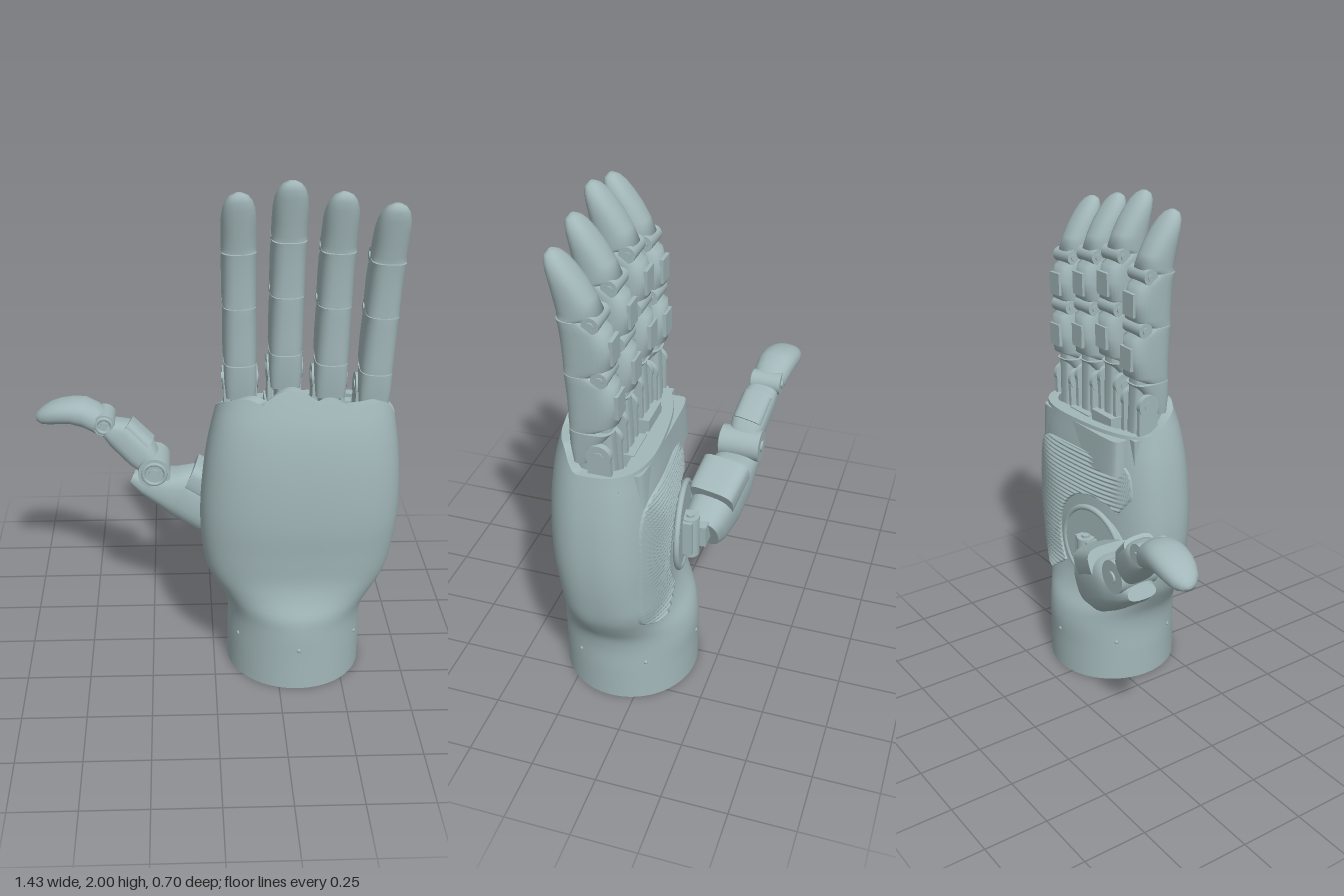
import * as THREE from 'three';

const paint = new THREE.MeshStandardMaterial({ color: 0xa2b7b9 });
const paintThin = new THREE.MeshStandardMaterial({ color: 0xa2b7b9, side: THREE.DoubleSide });
const V = (x, y, z) => new THREE.Vector3(x, y, z);
const smooth = (x, a, b) => THREE.MathUtils.smoothstep(x, a, b);
const power = (v, e) => Math.sign(v) * Math.abs(v) ** e;

function add(parent, name, geometry, pos = [0, 0, 0], rot = [0, 0, 0], material = paint) {
  const mesh = new THREE.Mesh(geometry, material);
  mesh.name = name;
  mesh.position.set(...pos);
  mesh.rotation.set(...rot);
  parent.add(mesh);
}

// Surface through rows of points; closed rows wrap around
function skin(rows, closed = true) {
  const n = rows[0].length, index = [];
  for (let i = 0; i < rows.length - 1; i++) {
    for (let j = 0; j < (closed ? n : n - 1); j++) {
      const k = (j + 1) % n, a = i * n + j, b = i * n + k;
      index.push(a, a + n, b, b, a + n, b + n);
    }
  }
  const g = new THREE.BufferGeometry().setFromPoints(rows.flat());
  g.setIndex(index);
  g.computeVertexNormals();
  return g;
}

// Capped loft along y from sections [y, xCentre, xRadius, zMin, zMax]
function loft(sections, n = 2.5, count = 28) {
  const ring = ([y, cx, rx, z0, z1], s = 1) => Array.from({ length: count }, (_, j) => {
    const a = (j / count) * Math.PI * 2;
    return V(cx + s * rx * power(Math.cos(a), 2 / n), y,
      (z0 + z1) / 2 + s * (z1 - z0) / 2 * power(Math.sin(a), 2 / n));
  });
  const first = sections[0], last = sections[sections.length - 1];
  return skin([ring(first, 0), ring(first), ...sections.map(s => ring(s)), ring(last), ring(last, 0)]);
}

const disc = (r, h, sides = 28) => new THREE.CylinderGeometry(r, r, h, sides);
const ALONG_X = [0, 0, Math.PI / 2], ALONG_Z = [Math.PI / 2, 0, 0];

// Hand outline by height: y, xMin, xMax, zMin, zMax
const outline = [
  [0, 0.055, 0.59, -0.175, 0.35], [0.13, 0.055, 0.59, -0.175, 0.35],
  [0.25, 0.055, 0.59, -0.175, 0.35], [0.31, 0.043, 0.602, -0.16, 0.345],
  [0.37, 0.012, 0.635, -0.125, 0.323], [0.44, -0.025, 0.67, -0.1, 0.308],
  [0.55, -0.048, 0.694, -0.09, 0.312], [0.7, -0.055, 0.708, -0.09, 0.325],
  [0.88, -0.042, 0.703, -0.085, 0.325], [1.0, -0.025, 0.69, -0.075, 0.315],
  [1.1, -0.003, 0.674, -0.062, 0.298], [1.18, 0.018, 0.66, -0.055, 0.275],
  [1.26, 0.03, 0.65, -0.05, 0.248],
];
const spline = new THREE.CubicInterpolant(outline.map(r => r[0]), outline.flatMap(r => r.slice(1)), 4);
function sectionAt(y) {
  const [x0, x1, z0, z1] = spline.evaluate(y);
  return { cx: (x0 + x1) / 2, rx: (x1 - x0) / 2, cz: (z0 + z1) / 2, rz: (z1 - z0) / 2,
    n: 2 + 0.6 * smooth(y, 0.25, 0.5), skew: 0.03 * smooth(y, 0.3, 0.5) };
}
function shellPoint(a, y, wall) {
  const s = sectionAt(y), c = power(Math.cos(a), 2 / s.n), q = power(Math.sin(a), 2 / s.n);
  return V(s.cx + (s.rx - wall) * c, y, s.cz + (s.rz - wall) * q + s.skew * c * Math.min(q, 0));
}
function palmZ(x, y) {
  const s = sectionAt(y), k = THREE.MathUtils.clamp((x - s.cx) / s.rx, -1, 1);
  const q = (1 - Math.abs(k) ** s.n) ** (1 / s.n);
  return s.cz - s.rz * q - s.skew * k * q;
}

// Finger data: x at base, height offset, sideways lean
const fingers = [[0.095, -0.04, 0.023], [0.259, 0, 0], [0.427, -0.04, -0.013], [0.591, -0.08, -0.04]];

// Hollow hand shell with a scalloped knuckle edge
function buildShell(group) {
  const count = 96, steps = 56;
  const knuckleRise = (x) => Math.max(0.06, ...fingers.map(([fx, dy]) =>
    0.135 + dy * 0.95 - 5 * Math.min(Math.abs(x - fx), 0.11) ** 2));
  const row = (t, wall) => Array.from({ length: count }, (_, j) => {
    const a = (j / count) * Math.PI * 2, edge = shellPoint(a, 1.11, 0);
    const start = edge.x < 0.32 ? 0.04 : 0.15;
    const rise = smooth(edge.z, start, 0.24) * knuckleRise(edge.x);
    return shellPoint(a, t * 1.11 + rise * smooth(t, 0.75, 1), wall + 0.012 * smooth(t, 0.8, 1));
  });
  const ts = Array.from({ length: steps + 1 }, (_, i) => i / steps);
  const outer = ts.map(t => row(t, 0).map((p, j) => {
    const a = (j / count) * Math.PI * 2;
    return shellPoint(a, p.y, 0);
  }));
  const inner = ts.map(t => row(t, 0.028)).reverse();
  add(group, 'handShell', skin([...outer, outer[steps], inner[0], ...inner, inner[steps], outer[0]]));

  // Bar closing the palm side behind the finger mounts
  add(group, 'knuckleBar', loft([[0.95, 0.33, 0.27, -0.075, 0.015], [1.095, 0.335, 0.27, -0.065, 0.015]], 5));

  // Screws around the wrist and pegs inside it
  for (let i = 0; i < 6; i++) {
    const p = shellPoint((i + 0.5) * Math.PI / 3, 0.18, 0.003);
    add(group, 'wristScrew', new THREE.SphereGeometry(0.009, 10, 8), p.toArray());
  }
  for (const side of [-1, 1]) {
    add(group, 'wristPeg', disc(0.018, 0.08, 16), [0.322 + side * 0.2, 0.1, 0.0875], ALONG_X);
  }
}

// Ribbed grip pad curving round the thumb mount
function buildGrip(group) {
  const rows = [], nA = 130, nR = 66;
  for (let i = 0; i <= nA; i++) {
    const a = THREE.MathUtils.degToRad(-38 + 163 * i / nA), c = Math.cos(a), s = Math.sin(a);
    const far = ((c / (c < 0 ? 0.18 : 0.43)) ** 6 + (s / (s < 0 ? 0.22 : 0.4)) ** 6) ** (-1 / 6);
    rows.push(Array.from({ length: nR + 1 }, (_, j) => {
      const r = 0.22 + (far - 0.22) * j / nR, x = 0.2 + r * c, y = 0.6 + r * s;
      const border = i === 0 || i === nA || j === 0 || j === nR;
      const lift = border ? -0.008 : 0.008 + 0.004 * Math.sin(y * 340);
      return V(x, y, palmZ(x, y) - lift);
    }));
  }
  add(group, 'palmGrip', skin(rows, false), [0, 0, 0], [0, 0, 0], paintThin);
}

function buildFinger([x, dy, lean]) {
  const f = new THREE.Group();
  f.name = 'finger';
  f.position.set(x, 1.27 + dy, 0);
  f.rotation.z = lean;
  const body = new THREE.Group();
  body.position.y = -1.27;
  f.add(body);

  // Knuckle mount, fork and hinge
  add(body, 'knuckleMount', new THREE.BoxGeometry(0.14, 0.16, 0.2), [0, 1.06, 0.105]);
  add(body, 'knuckleCore', loft([[1.1, 0, 0.035, 0.03, 0.17], [1.38, 0, 0.038, 0.04, 0.175]], 4));
  for (const side of [-1, 1]) {
    add(body, 'knuckleCheek', new THREE.BoxGeometry(0.018, 0.17, 0.085), [side * 0.053, 1.19, 0.075]);
    add(body, 'knuckleCap', disc(0.045, 0.022), [side * 0.055, 1.27, 0.075], ALONG_X);
    add(body, 'knucklePin', disc(0.02, 0.028, 16), [side * 0.055, 1.27, 0.075], ALONG_X);
  }
  add(body, 'knuckleCover', loft([[1.22, 0, 0.054, 0.12, 0.178], [1.29, 0, 0.06, 0.08, 0.188],
    [1.352, 0, 0.061, 0.03, 0.19]], 3));

  // Lower and middle links, bevelled on the palm side at each joint
  add(body, 'lowerLink', loft([[1.355, 0, 0.059, 0.07, 0.188], [1.385, 0, 0.063, 0.015, 0.19],
    [1.46, 0, 0.063, 0.01, 0.19], [1.54, 0, 0.062, 0.015, 0.194], [1.573, 0, 0.06, 0.08, 0.194]], 2.8));
  add(body, 'middleLink', loft([[1.576, 0, 0.06, 0.08, 0.194], [1.61, 0, 0.063, 0.02, 0.195],
    [1.68, 0, 0.063, 0.018, 0.198], [1.74, 0, 0.063, 0.035, 0.202], [1.778, 0, 0.062, 0.095, 0.206]], 2.8));
  for (const [y, z] of [[1.573, 0.06], [1.775, 0.08]]) {
    add(body, 'fingerJoint', disc(0.03, 0.112, 20), [0, y, z], ALONG_X);
    add(body, 'fingerJointPin', disc(0.014, 0.122, 14), [0, y, z], ALONG_X);
  }
  for (const [y, z] of [[1.46, 0.012], [1.67, 0.022]]) {
    add(body, 'fingerPad', new THREE.BoxGeometry(0.07, 0.09, 0.014), [0, y, z]);
  }
  add(body, 'fingertip', loft([[1.781, 0, 0.062, 0.095, 0.206], [1.8, 0, 0.063, 0.056, 0.208],
    [1.85, 0, 0.063, 0.078, 0.217], [1.9, 0, 0.062, 0.108, 0.226], [1.94, 0, 0.057, 0.138, 0.234],
    [1.97, 0, 0.047, 0.163, 0.238], [1.99, 0, 0.032, 0.185, 0.235], [2, 0, 0.012, 0.202, 0.222]], 2.3));
  return f;
}

// Group whose y axis runs from a to b and whose z axis stays near world z
function along(parent, name, a, b) {
  const g = new THREE.Group(), y = b.clone().sub(a).normalize();
  const x = y.clone().cross(V(0, 0, 1)).normalize(), z = x.clone().cross(y);
  g.name = name;
  g.quaternion.setFromRotationMatrix(new THREE.Matrix4().makeBasis(x, y, z));
  g.position.copy(a);
  parent.add(g);
  return g;
}

function buildThumb(group) {
  const thumb = new THREE.Group();
  thumb.name = 'thumb';
  group.add(thumb);

  // Round mount set into the palm with its swivel bracket
  add(thumb, 'thumbMount', disc(0.165, 0.06, 48), [0.2, 0.6, -0.06], [Math.PI / 2, 0, -0.14]);
  add(thumb, 'thumbMountRing', new THREE.TorusGeometry(0.168, 0.012, 10, 56), [0.2, 0.6, -0.085], [0, 0.14, 0]);
  add(thumb, 'swivelBracket', new THREE.BoxGeometry(0.09, 0.15, 0.06), [0.21, 0.57, -0.105]);
  add(thumb, 'swivelBarrel', disc(0.036, 0.18, 24), [0.205, 0.56, -0.115]);
  add(thumb, 'swivelPin', disc(0.016, 0.2, 16), [0.205, 0.56, -0.115]);
  add(thumb, 'swivelArm', new THREE.BoxGeometry(0.12, 0.09, 0.07), [0.14, 0.55, -0.14]);

  // Base link with grip patch
  const base = along(thumb, 'thumbBase', V(0.13, 0.525, -0.135), V(-0.32, 0.725, -0.215));
  add(base, 'baseLink', loft([[0, -0.01, 0.085, -0.075, 0.075], [0.04, -0.02, 0.102, -0.088, 0.085],
    [0.15, -0.025, 0.117, -0.1, 0.095], [0.27, -0.015, 0.112, -0.1, 0.1], [0.33, -0.03, 0.084, -0.088, 0.092],
    [0.42, -0.045, 0.05, -0.075, 0.08], [0.48, -0.05, 0.026, -0.055, 0.06]], 2.7));
  add(base, 'baseGrip', loft([[0.11, 0.065, 0.065, -0.098, 0.095],
    [0.27, 0.07, 0.062, -0.1, 0.098]], 3.5));

  // Hinges
  for (const [name, p, r, h] of [['thumbHinge', [-0.235, 0.72, -0.2], 0.066, 0.165],
    ['thumbTipHinge', [-0.435, 0.905, -0.25], 0.045, 0.12]]) {
    add(thumb, name, disc(r, h, 32), p, ALONG_Z);
    add(thumb, name + 'Rim', new THREE.TorusGeometry(r * 0.68, 0.008, 8, 32), [p[0], p[1], p[2] + h / 2]);
    add(thumb, name + 'Pin', disc(r * 0.35, h + 0.016, 16), p, ALONG_Z);
  }

  // Middle link
  const middle = along(thumb, 'thumbMiddle', V(-0.235, 0.72, -0.2), V(-0.44, 0.905, -0.25));
  add(middle, 'thumbMiddleLink', loft([[0.02, 0, 0.054, -0.06, 0.06], [0.08, 0.008, 0.068, -0.072, 0.072],
    [0.19, 0.012, 0.068, -0.07, 0.07], [0.225, 0.004, 0.052, -0.064, 0.064],
    [0.26, -0.008, 0.038, -0.055, 0.055]], 2.8));
  add(middle, 'thumbMiddleGrip', loft([[0.08, 0.047, 0.04, -0.06, 0.06], [0.2, 0.05, 0.038, -0.06, 0.06]], 3));

  // Curved tip
  const tip = along(thumb, 'thumbTip', V(-0.435, 0.905, -0.25), V(-0.715, 0.905, -0.292));
  add(tip, 'thumbTipLink', loft([[0.0, -0.005, 0.05, -0.06, 0.06], [0.03, 0.008, 0.061, -0.07, 0.07],
    [0.08, 0.032, 0.058, -0.076, 0.076], [0.13, 0.038, 0.051, -0.077, 0.077],
    [0.18, 0.032, 0.048, -0.073, 0.073], [0.22, 0.022, 0.044, -0.064, 0.064],
    [0.255, 0.01, 0.034, -0.049, 0.049], [0.277, 0.003, 0.02, -0.028, 0.028],
    [0.284, 0, 0.005, -0.008, 0.008]], 2.3));
}

export function createModel() {
  const hand = new THREE.Group();
  hand.name = 'mechanicalHand';
  buildShell(hand);
  buildGrip(hand);
  fingers.forEach(f => hand.add(buildFinger(f)));
  buildThumb(hand);
  return hand;
}
